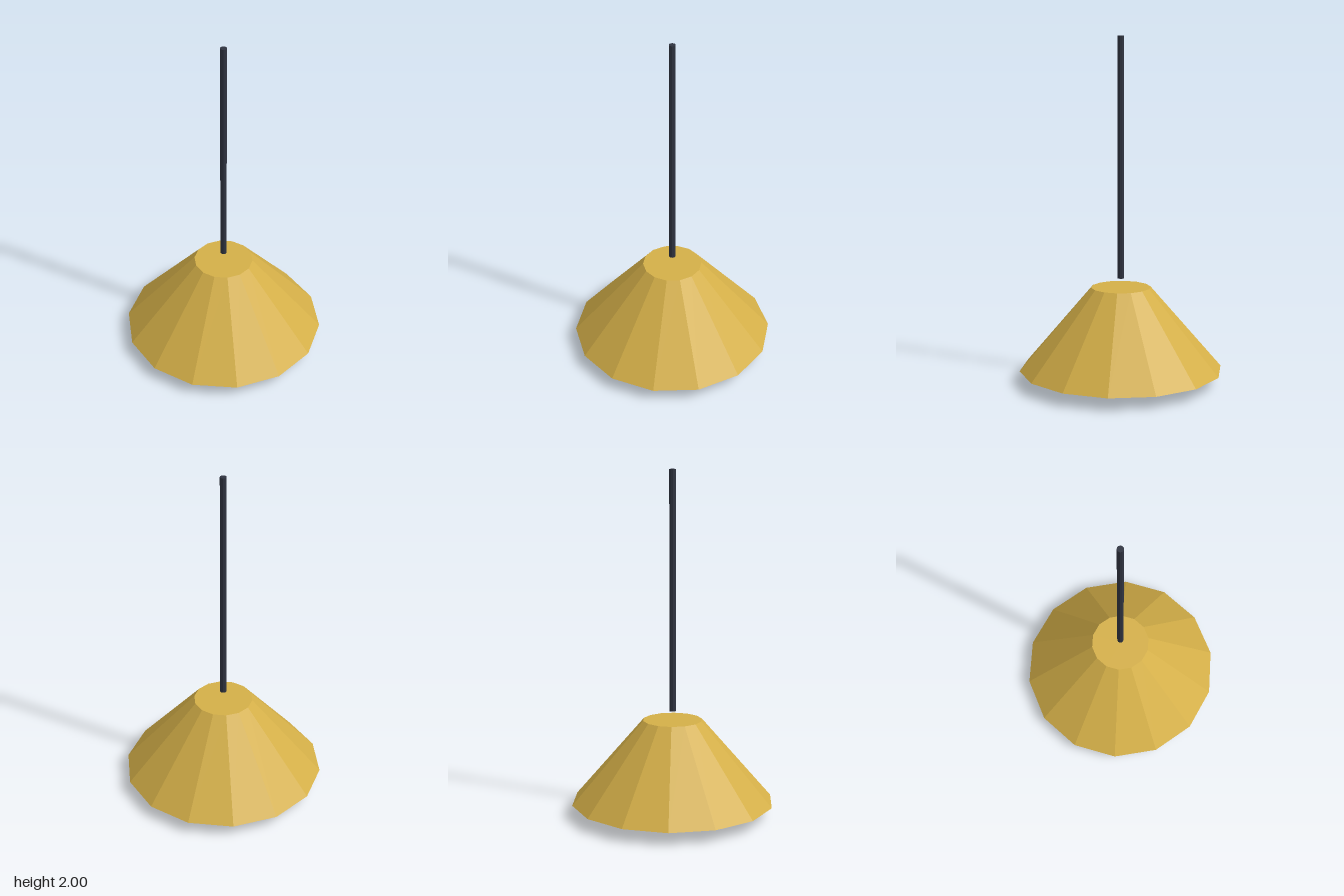
import * as THREE from 'three';

function material(name, color, flat = true) {
  const m = new THREE.MeshStandardMaterial({ color, flatShading: flat });
  m.name = name;
  return m;
}

export function createModel() {
  const group = new THREE.Group();
  group.name = 'pendantLamp';

  const gold = material('gold', 0xd4af48);
  const charcoal = material('charcoal', 0x2f3340);
  const cream = material('warm cream', 0xfff1c8);

  const add = (name, geometry, mat, y) => {
    const mesh = new THREE.Mesh(geometry, mat);
    mesh.name = name;
    mesh.position.y = y;
    group.add(mesh);
    return mesh;
  };

  // Closed fourteen-sided shade
  const shadeBottom = 0.075, shadeTop = 0.56;
  add('shade', new THREE.CylinderGeometry(0.173, 0.59, shadeTop - shadeBottom, 14),
    gold, (shadeBottom + shadeTop) / 2);

  // Hanging cord, floating just above the shade
  const cordBottom = 0.612, cordTop = 2;
  add('cord', new THREE.CylinderGeometry(0.019, 0.019, cordTop - cordBottom, 10),
    charcoal, (cordBottom + cordTop) / 2);

  // Flattened faceted bulb peeking out below the shade
  const bulb = new THREE.IcosahedronGeometry(0.18, 1);
  bulb.scale(1, 0.5, 1);
  bulb.computeVertexNormals();
  add('bulb', bulb, cream, 0.093);

  return group;
}
